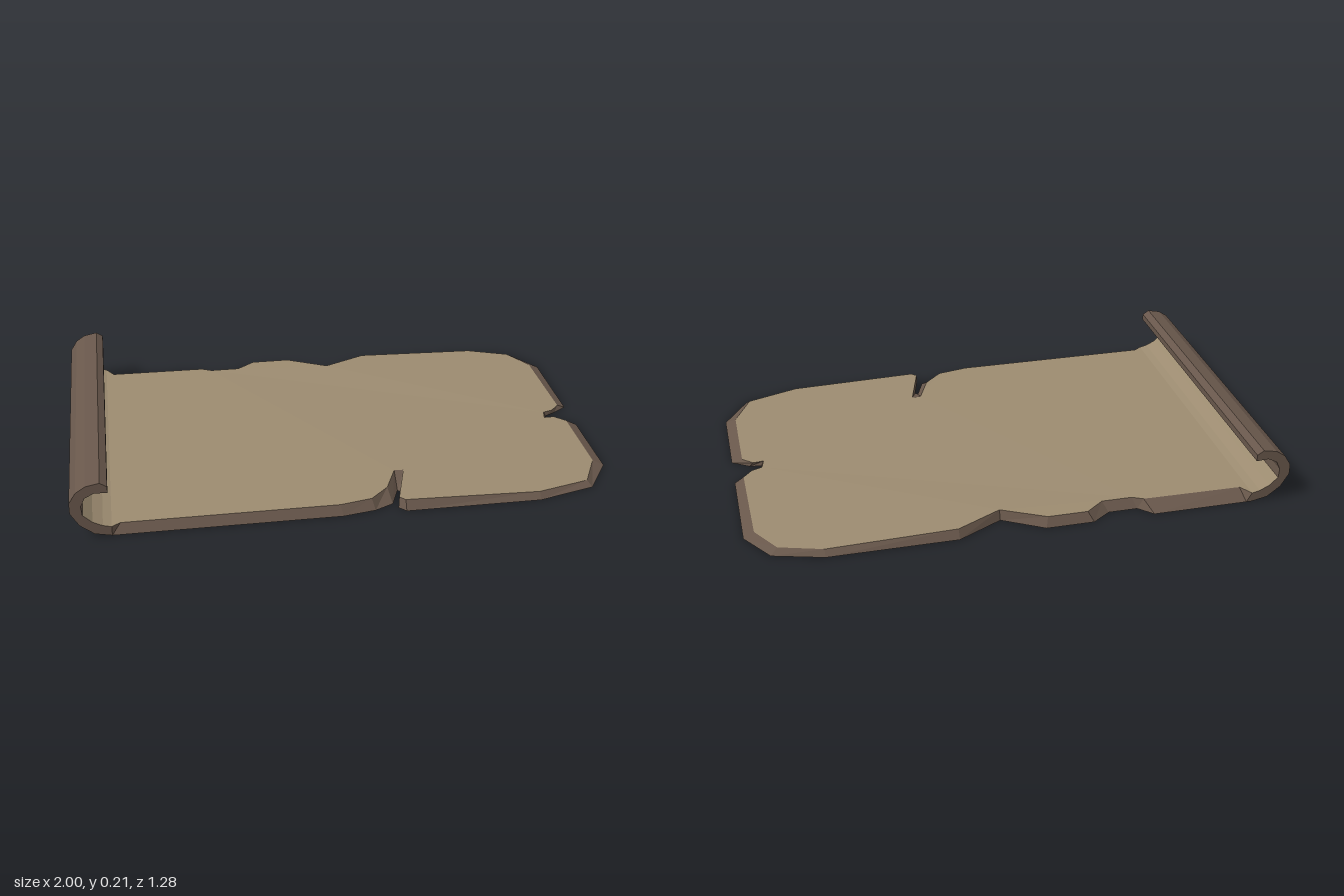
import * as THREE from 'three';

const Z0 = -0.64, Z1 = 0.637;

// Outline as [bottom x, bottom z, top x, top z]: along the back, right, then front edge
const OUTLINE = [
  [-0.86, Z0, -0.86, Z0], [-0.84, Z0, -0.83, -0.59], [-0.48, Z0, -0.455, -0.585],
  // back notches
  [-0.43, -0.59, -0.415, -0.565], [-0.32, -0.59, -0.3, -0.565], [-0.25, Z0, -0.23, -0.62],
  [-0.07, Z0, -0.08, -0.62], [0.08, -0.55, 0.08, -0.535], [0.25, Z0, 0.25, -0.62],
  // back right corner
  [0.73, Z0, 0.73, -0.62], [0.915, -0.587, 0.89, -0.565], [1, -0.455, 0.96, -0.445],
  // right tear
  [1, -0.065, 0.965, -0.055], [0.945, -0.025, 0.93, -0.015], [0.9, 0, 0.89, 0],
  [0.89, 0.04, 0.88, 0.045], [0.935, 0.048, 0.92, 0.042], [1, 0.09, 0.96, 0.08],
  // front right corner
  [1, 0.425, 0.96, 0.41], [0.905, 0.577, 0.89, 0.555], [0.69, Z1, 0.69, 0.615],
  // front slit
  [0.19, Z1, 0.19, 0.615], [0.165, 0.61, 0.17, 0.595], [0.195, 0.5, 0.225, 0.4],
  [0.185, 0.49, 0.19, 0.4], [0.15, 0.58, 0.14, 0.52], [0.08, 0.615, 0.07, 0.59],
  [-0.04, Z1, -0.05, 0.615], [-0.84, Z1, -0.83, 0.615], [-0.86, Z1, -0.86, Z1],
];

// Curl cross-section (x, y): outside from the ground up to the lip, then inside back down
const OUTSIDE = [[-0.86, 0], [-0.92, 0.012], [-0.97, 0.05], [-1, 0.1], [-1, 0.14],
  [-0.975, 0.18], [-0.94, 0.203], [-0.89, 0.213], [-0.865, 0.197], [-0.865, 0.172]];
const INSIDE = [[-0.865, 0.172], [-0.91, 0.175], [-0.945, 0.157], [-0.96, 0.125],
  [-0.957, 0.09], [-0.925, 0.06], [-0.89, 0.043], [-0.86, 0.036]];

// The sheet thins towards its right end
const topY = (x) => 0.036 - 0.02 * Math.max(0, (x - 0.15) / 0.85);

function geometryFrom(positions) {
  const g = new THREE.BufferGeometry();
  g.setAttribute('position', new THREE.Float32BufferAttribute(positions, 3));
  g.computeVertexNormals();
  return g;
}

// Quads between two rows of points
function strip(a, b) {
  const out = [];
  for (let i = 0; i < a.length - 1; i++) {
    for (const p of [a[i], a[i + 1], b[i + 1], a[i], b[i + 1], b[i]]) out.push(...p);
  }
  return geometryFrom(out);
}

// Filled polygon facing dir; u and v are the axes it is triangulated in
function cap(points, u, v, dir) {
  const flat = points.map((p) => new THREE.Vector2(p[u], p[v]));
  const out = [];
  const normal = new THREE.Vector3();
  for (const face of THREE.ShapeUtils.triangulateShape(flat, [])) {
    const [a, b, c] = face.map((i) => new THREE.Vector3(...points[i]));
    THREE.Triangle.getNormal(a, b, c, normal);
    const order = normal.dot(dir) < 0 ? [a, c, b] : [a, b, c];
    for (const p of order) out.push(p.x, p.y, p.z);
  }
  return geometryFrom(out);
}

export function createModel() {
  const group = new THREE.Group();
  const material = (color) =>
    new THREE.MeshStandardMaterial({ color, flatShading: true, side: THREE.DoubleSide });
  const parchment = material(0x9c8b70);
  const worn = material(0x68574b);
  const add = (name, geometry, mat) => {
    const mesh = new THREE.Mesh(geometry, mat);
    mesh.name = name;
    group.add(mesh);
  };

  // Flat sheet with bevelled torn edges
  const bottom = OUTLINE.map(([x, z]) => [x, 0, z]);
  const top = OUTLINE.map(([, , x, z]) => [x, topY(x), z]);
  add('sheetTop', cap(top, 0, 2, new THREE.Vector3(0, 1, 0)), parchment);
  add('sheetUnderside', cap(bottom, 0, 2, new THREE.Vector3(0, -1, 0)), parchment);
  add('tornEdge', strip(top, bottom), worn);

  // Curled left end
  const at = (profile, z) => profile.map(([x, y]) => [x, y, z]);
  const sweep = (profile) => strip(at(profile, Z1), at(profile, Z0));
  add('curlOutside', sweep(OUTSIDE), worn);
  add('curlInsideUpper', sweep(INSIDE.slice(0, 5)), worn);
  add('curlInsideLower', sweep(INSIDE.slice(4)), parchment);
  const section = [...OUTSIDE, ...INSIDE.slice(1)];
  add('curlFrontEnd', cap(at(section, Z1), 0, 1, new THREE.Vector3(0, 0, 1)), worn);
  add('curlBackEnd', cap(at(section, Z0), 0, 1, new THREE.Vector3(0, 0, -1)), worn);

  return group;
}
